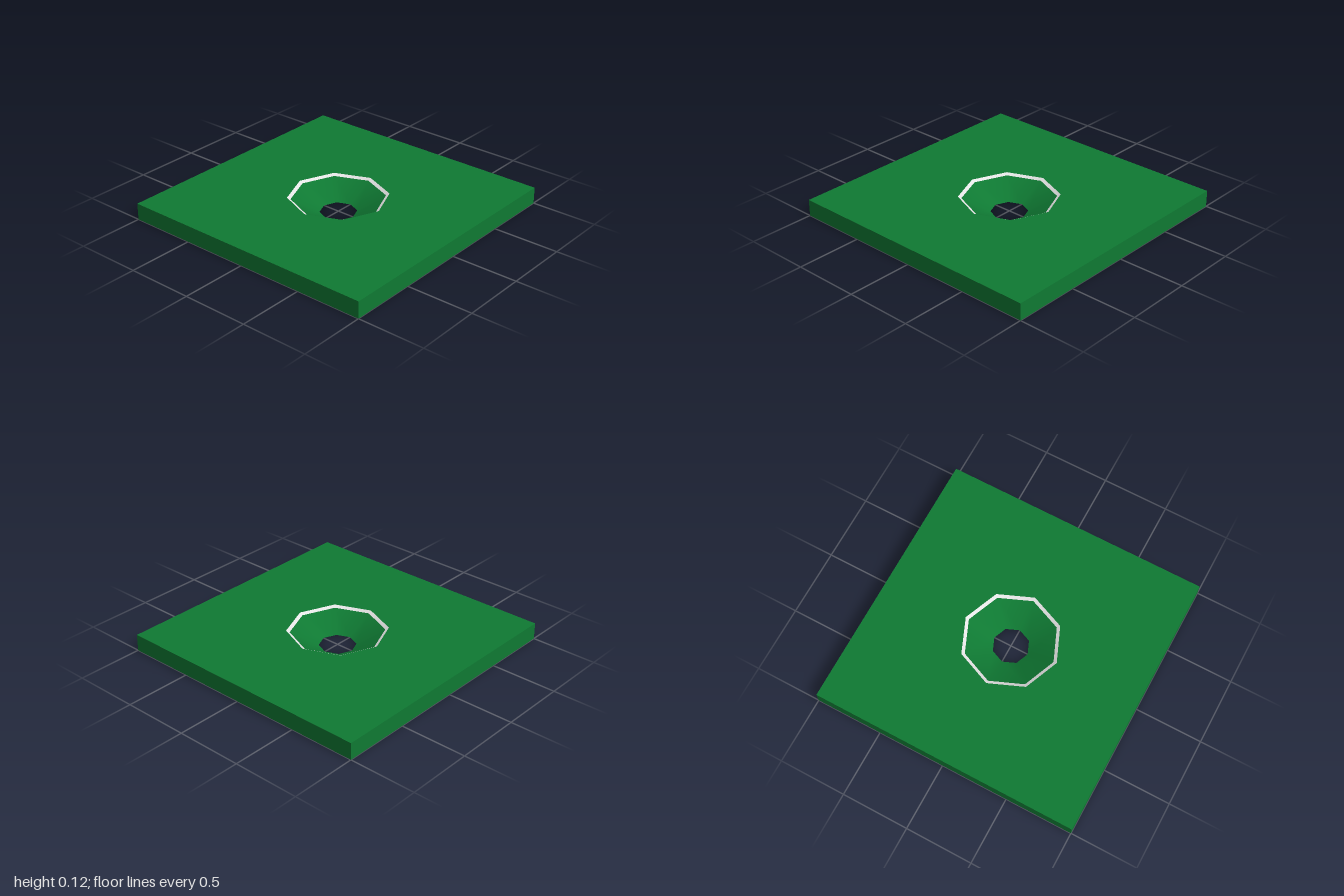
import * as THREE from 'three';

const HEIGHT = 0.125;
const SIDES = 8;
const TOP_R = 0.365, RIM_R = 0.34, BOTTOM_R = 0.135;

// Square sheet with an octagonal hole, lying flat and facing up
function sheet(holeRadius) {
  const shape = new THREE.Shape([[-1, -1], [1, -1], [1, 1], [-1, 1]].map(([x, y]) => new THREE.Vector2(x, y)));
  const corners = [];
  for (let i = 0; i < SIDES; i++) {
    const a = -i / SIDES * Math.PI * 2;
    corners.push(new THREE.Vector2(Math.cos(a) * holeRadius, Math.sin(a) * holeRadius));
  }
  shape.holes.push(new THREE.Path(corners));
  return new THREE.ShapeGeometry(shape).rotateX(-Math.PI / 2);
}

// Inward-facing octagonal band of the funnel, from the upper radius to the lower
function band(upper, lower) {
  const heightAt = r => HEIGHT * (r - BOTTOM_R) / (TOP_R - BOTTOM_R);
  return new THREE.LatheGeometry([upper, lower].map(r => new THREE.Vector2(r, heightAt(r))), SIDES);
}

export function createModel() {
  const green = new THREE.MeshStandardMaterial({ color: 0x0f7a33 });
  green.name = 'green';
  const white = new THREE.MeshStandardMaterial({ color: 0xe6e6e6, side: THREE.DoubleSide });
  white.name = 'white';
  const funnelGreen = green;

  const model = new THREE.Group();
  model.name = 'holeTile';
  const add = (name, geometry, material) => {
    const mesh = new THREE.Mesh(geometry, material);
    mesh.name = name;
    model.add(mesh);
  };

  // Tile body
  add('topFace', sheet(TOP_R).translate(0, HEIGHT, 0), green);
  add('bottomFace', sheet(BOTTOM_R).rotateX(Math.PI), green);
  const walls = new THREE.CylinderGeometry(Math.SQRT2, Math.SQRT2, HEIGHT, 4, 1, true, Math.PI / 4)
    .translate(0, HEIGHT / 2, 0).toNonIndexed();
  walls.computeVertexNormals();
  add('sideWalls', walls, green);

  // Funnel with its white lip
  add('holeRim', band(TOP_R, RIM_R), white);
  add('funnel', band(RIM_R, BOTTOM_R), funnelGreen);

  return model;
}
